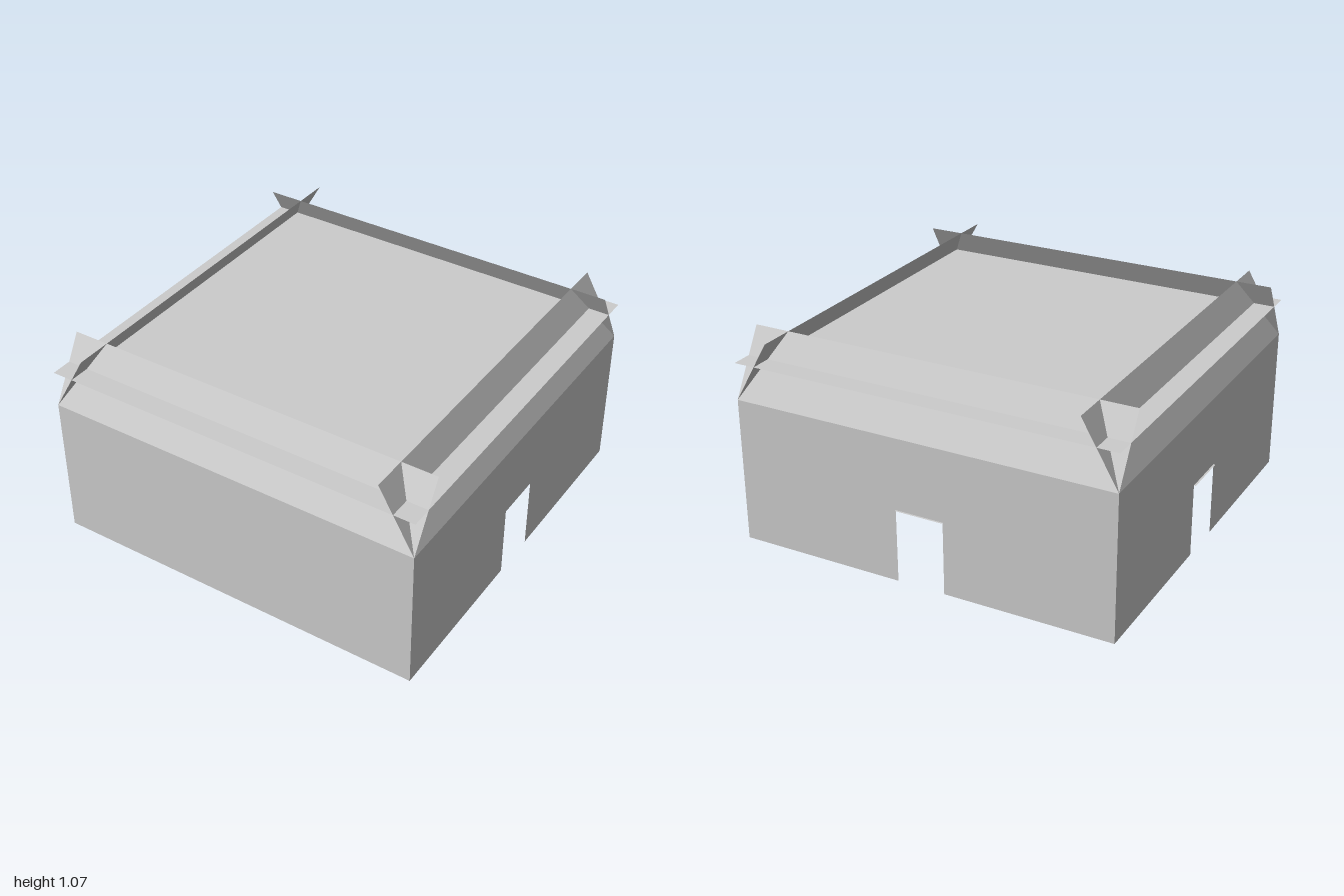
import * as THREE from 'three';

const HALF = 0.995;      // half the side length
const WALL_H = 0.75;     // top of the upright walls
const RIM_H = 1.07;      // top edge of the leaning panels
const RIM_INSET = 0.185; // how far the panels lean inward
const ROOF_Y = 0.94;
const DOOR_HALF = 0.125;
const DOOR_H = 0.38;
const LINTEL = 0.01;

export function createModel() {
  const model = new THREE.Group();
  model.name = 'bunker';

  const concrete = new THREE.MeshStandardMaterial({ color: 0xcccccc, side: THREE.DoubleSide });
  concrete.name = 'concrete grey';

  const addPart = (parent, name, geometry) => {
    const mesh = new THREE.Mesh(geometry, concrete);
    mesh.name = name;
    parent.add(mesh);
    return mesh;
  };

  // Upright wall outline, with a doorway notch where needed
  const wallShape = (hasDoor) => {
    const points = [[-HALF, 0]];
    if (hasDoor) {
      points.push([-DOOR_HALF, 0], [-DOOR_HALF, DOOR_H], [DOOR_HALF, DOOR_H], [DOOR_HALF, 0]);
    }
    points.push([HALF, 0], [HALF, WALL_H], [-HALF, WALL_H]);
    return new THREE.Shape(points.map(([x, y]) => new THREE.Vector2(x, y)));
  };

  // Full-length panel that leans inward and crosses its neighbours at the corners
  const leaningPanel = () => {
    const geometry = new THREE.PlaneGeometry(2 * HALF, RIM_H - WALL_H);
    const pos = geometry.attributes.position;
    for (let i = 0; i < pos.count; i++) {
      const top = pos.getY(i) > 0;
      pos.setY(i, top ? RIM_H : WALL_H);
      pos.setZ(i, top ? HALF - RIM_INSET : HALF);
    }
    geometry.computeVertexNormals();
    return geometry;
  };

  // Four sides, each built facing +z and turned into place
  const sides = [
    { name: 'front', turn: 0, door: false },
    { name: 'left', turn: 1, door: true, lintelZ: HALF - LINTEL / 2 },
    { name: 'back', turn: 2, door: true, lintelZ: HALF + LINTEL / 2 },
    { name: 'right', turn: 3, door: true, lintelZ: HALF + LINTEL / 2 },
  ];
  const body = new THREE.Group();
  body.name = 'body';
  body.position.set(0.005, 0, 0.005);
  model.add(body);

  for (const { name, turn, door, lintelZ } of sides) {
    const side = new THREE.Group();
    side.name = `${name}Side`;
    side.rotation.y = turn * Math.PI / 2;
    body.add(side);

    addPart(side, `${name}Wall`, new THREE.ShapeGeometry(wallShape(door)).translate(0, 0, HALF));
    addPart(side, `${name}LeaningPanel`, leaningPanel());
    if (door) {
      // Narrow strip along the head of the doorway
      const strip = new THREE.PlaneGeometry(2 * DOOR_HALF, LINTEL).rotateX(-Math.PI / 2);
      addPart(side, `${name}Lintel`, strip.translate(0, DOOR_H, lintelZ));
    }
  }

  // Flat roof slab, reaching past the panels as an outer ledge
  addPart(body, 'roof',
    new THREE.PlaneGeometry(2 * HALF, 2 * HALF).rotateX(-Math.PI / 2).translate(0, ROOF_Y, 0));

  return model;
}
